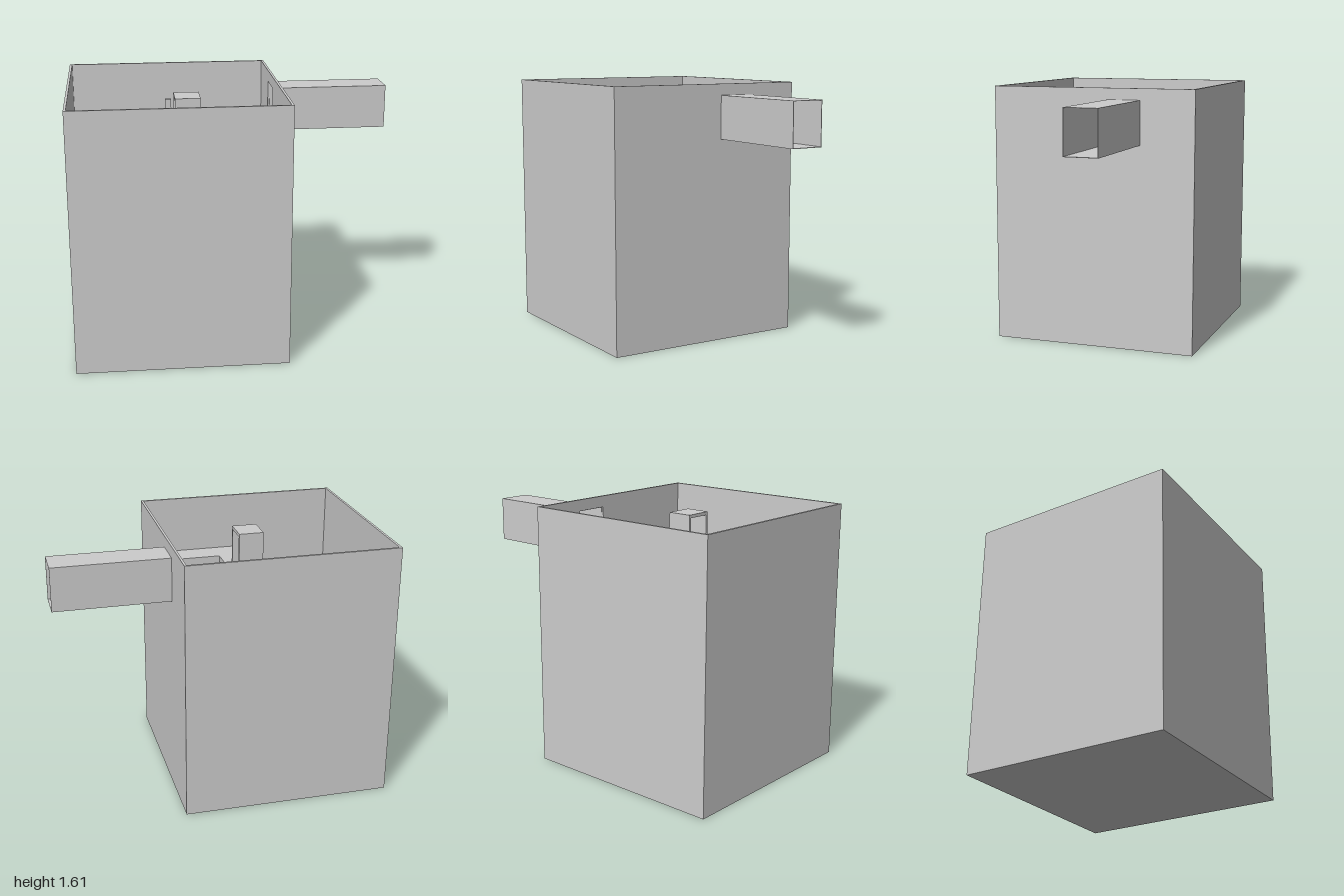
import * as THREE from 'three';

const grey = new THREE.MeshStandardMaterial({ color: 0xcccccc, flatShading: true, side: THREE.DoubleSide });

export function createModel() {
  const model = new THREE.Group();

  const add = (name, geometry) => {
    const mesh = new THREE.Mesh(geometry, grey);
    mesh.name = name;
    model.add(mesh);
  };

  // Box given by its limits on each axis
  const box = (name, x0, x1, y0, y1, z0, z1) =>
    add(name, new THREE.BoxGeometry(x1 - x0, y1 - y0, z1 - z0)
      .translate((x0 + x1) / 2, (y0 + y1) / 2, (z0 + z1) / 2));

  // Floor plan of [x, z] corners raised from y0 to y1
  const block = (name, plan, y0, y1) => {
    const shape = new THREE.Shape(plan.map(([x, z]) => new THREE.Vector2(x, -z)));
    add(name, new THREE.ExtrudeGeometry(shape, { depth: y1 - y0, bevelEnabled: false })
      .rotateX(-Math.PI / 2).translate(0, y0, 0));
  };

  // Rectangle in the z-y plane with a rectangular hole, extruded along x
  const rect = (Type, [z0, z1, y0, y1]) => new Type(
    [[-z0, y0], [-z1, y0], [-z1, y1], [-z0, y1]].map(([u, v]) => new THREE.Vector2(u, v)));
  const frame = (name, x0, x1, outer, hole) => {
    const shape = rect(THREE.Shape, outer);
    shape.holes.push(rect(THREE.Path, hole));
    add(name, new THREE.ExtrudeGeometry(shape, { depth: x1 - x0, bevelEnabled: false })
      .rotateY(Math.PI / 2).translate(x0, 0, 0));
  };

  // Open-topped outer case
  const H = 1.61, D = 0.645, T = 0.015, BED = 0.5;
  box('caseBottom', -1, 0.29, 0, T, -D, D);
  box('frontWall', -1, 0.29, 0, H, D - T, D);
  box('backWall', -1, 0.29, 0, H, -D, -D + T);
  box('rightWall', -1, -1 + T, 0, H, -D, D);
  frame('leftWall', 0.29 - T, 0.29, [-D, D, 0, H], [-0.305, -0.1, 1.31, 1.54]);

  // Entrance tunnel, open at its outer end
  frame('entranceTunnel', 0.285, 1, [-0.305, -0.1, 1.27, 1.54], [-0.302, -0.103, 1.273, 1.537]);

  // Sunken channel floor and the terraces round it
  const X0 = -0.985, X1 = 0.275, Z0 = -0.63, Z1 = 0.63;
  box('channelFloor', X0, X1, BED - 0.02, BED, Z0, Z1);
  box('backTerrace', X0, X1, BED, 1.05, Z0, -0.47);
  block('lowTerrace', [[X0, 0.31], [-0.51, 0.31], [-0.51, -0.155], [-0.35, -0.155],
    [-0.35, Z1], [X0, Z1]], BED, 0.7);

  // High terrace: body with a slightly wider top slab
  const highPlan = (e) => [[-0.355, -0.16 - e], [-0.045 + e, -0.16 - e], [-0.045 + e, 0.305 + e],
    [-0.2 + e, 0.305 + e], [-0.2 + e, 0.465 - e], [0.115 - e, 0.465 - e],
    [0.115 - e, -0.31 - e], [X1, -0.31 - e], [X1, Z1], [-0.355, Z1]];
  block('highTerraceBody', highPlan(0), BED, 1.21);
  block('highTerraceSlab', highPlan(0.005), 1.21, 1.25);

  // Ramp from the back terrace down to the low terrace
  const side = new THREE.Shape([[0.47, 1.05], [0.315, 0.97], [-0.31, 0.7], [-0.31, BED], [0.47, BED]]
    .map(([u, v]) => new THREE.Vector2(u, v)));
  add('ramp', new THREE.ExtrudeGeometry(side, { depth: 0.155, bevelEnabled: false })
    .rotateY(Math.PI / 2).translate(X0, 0, 0));

  // Gatehouse with a passage through it
  frame('gatehouse', -0.355, -0.2, [-0.01, 0.165, 1.25, 1.55], [0.006, 0.149, 1.255, 1.53]);

  // Bridge with its posts and the thin partition behind it
  box('bridge', -0.4, -0.31, 1.22, 1.25, -0.46, -0.17);
  box('bridgeTallPost', -0.385, -0.345, 1.05, 1.4, -0.485, -0.458);
  box('bridgeSupportPost', -0.385, -0.345, 0.7, 1.22, -0.175, -0.135);
  box('partition', -0.365, -0.35, 1.05, 1.27, Z0, -0.48);

  return model;
}
